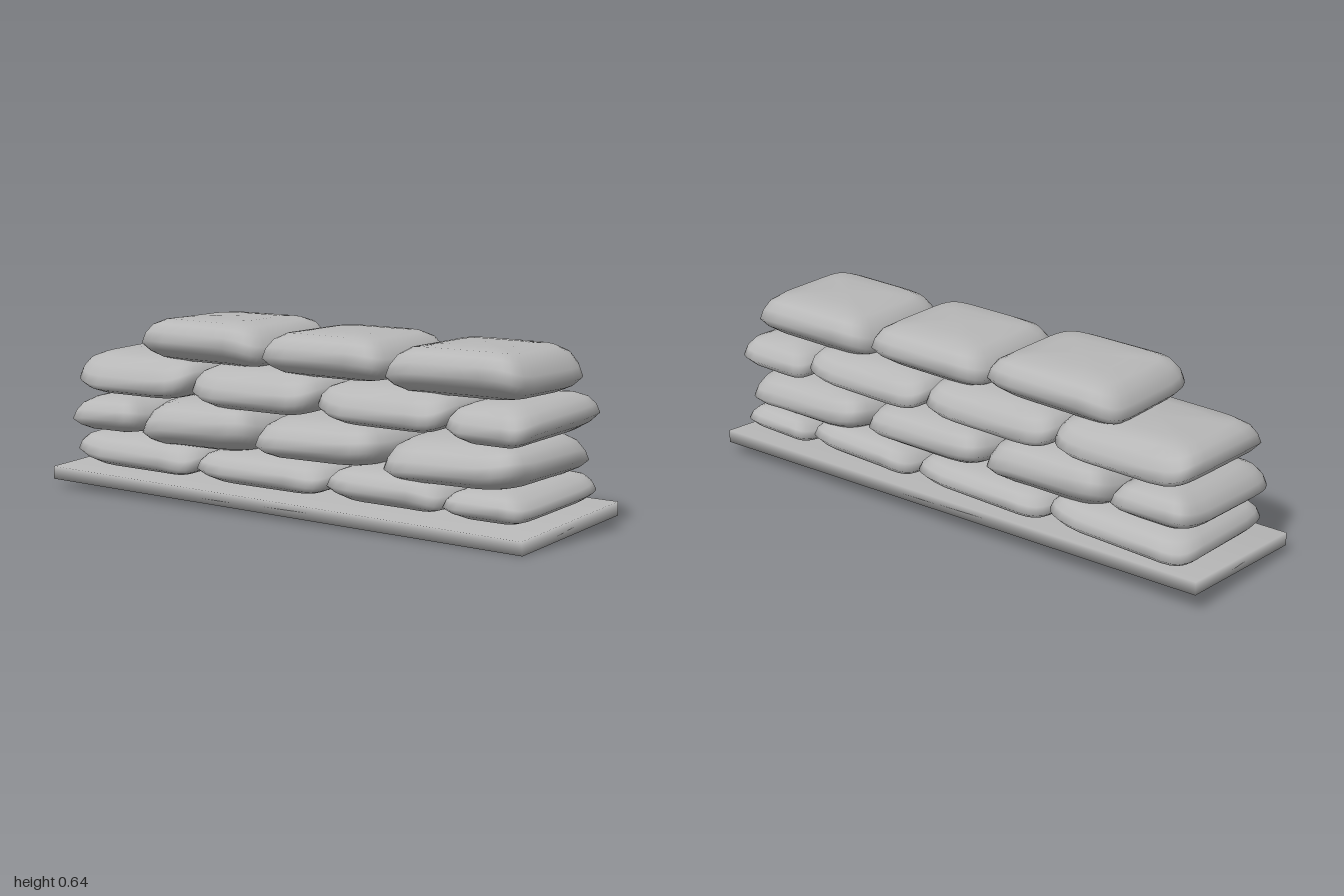
import * as THREE from 'three';
import { mergeVertices } from 'three/addons/utils/BufferGeometryUtils.js';

const grey = new THREE.MeshStandardMaterial({ color: 0xb8b8b8 });
grey.name = 'grey';

// small seeded random, -1 to 1
function seeded(seed) {
  let s = seed * 7919 + 17;
  return () => {
    s = (s * 16807) % 2147483647;
    return (s / 2147483647) * 2 - 1;
  };
}

// Pillow profile from the bottom up: [inset from outline, height]; the seam is at inset 0
const PROFILE = [
  [0.17, -1], [0.105, -0.95], [0.06, -0.82], [0.024, -0.55], [0, -0.22],
  [0.01, 0.2], [0.032, 0.6], [0.07, 0.86], [0.14, 0.97],
];
const SIDES = 28;

// Sandbag: rounded-square rings stacked into a smooth pillow with a wavering seam
function sandbag(x0, x1, y0, y1, z0, z1, tilt, seed) {
  const rnd = seeded(seed);
  for (let i = 0; i < 5; i++) rnd();
  const hx = (x1 - x0) / 2, hy = (y1 - y0) / 2, hz = (z1 - z0) / 2;
  const phase = rnd() * Math.PI, wave = 0.16 + 0.08 * rnd(), phase2 = rnd() * Math.PI;
  const pos = [], index = [];
  const bend = (c) => Math.sign(c) * Math.pow(Math.abs(c), 0.32);
  const add = (x, y, z) => pos.push(x, y + tilt * x, z);

  for (const [inset, h] of PROFILE) {
    const rx = hx - Math.min(inset, hx * 0.7), rz = hz - Math.min(inset, hz * 0.7);
    for (let j = 0; j < SIDES; j++) {
      const a = ((j + 0.5) / SIDES) * Math.PI * 2;
      const sag = wave * (1 - h * h) * Math.sin(2 * a + phase);
      const pinch = 1 - 0.02 * (1 + Math.sin(3 * a + phase2)) * (1 - Math.abs(h));
      add(rx * bend(Math.cos(a)) * pinch, hy * (h + sag), rz * bend(Math.sin(a)));
    }
  }
  const rings = PROFILE.length;
  for (let i = 0; i < rings - 1; i++) {
    for (let j = 0; j < SIDES; j++) {
      const a = i * SIDES + j, b = i * SIDES + ((j + 1) % SIDES);
      index.push(a, a + SIDES, b, b, a + SIDES, b + SIDES);
    }
  }
  // bottom and top caps
  const bottom = rings * SIDES, top = bottom + 1, last = (rings - 1) * SIDES;
  add(0, -hy, 0);
  add(0, hy, 0);
  for (let j = 0; j < SIDES; j++) {
    const k = (j + 1) % SIDES;
    index.push(bottom, j, k, top, last + k, last + j);
  }

  const geo = new THREE.BufferGeometry();
  geo.setAttribute('position', new THREE.Float32BufferAttribute(pos, 3));
  geo.setIndex(index);
  geo.computeVertexNormals();
  const mesh = new THREE.Mesh(geo, grey);
  mesh.position.set((x0 + x1) / 2, (y0 + y1) / 2, (z0 + z1) / 2);
  return mesh;
}

// Base board: a smooth-shaded box whose corners are slightly skewed and tilted
function baseBoard() {
  const box = new THREE.BoxGeometry(1, 1, 2);
  box.deleteAttribute('normal');
  box.deleteAttribute('uv');
  const geo = mergeVertices(box);
  const p = geo.attributes.position;
  for (let i = 0; i < p.count; i++) {
    const right = p.getX(i) > 0, front = p.getZ(i) > 0, up = p.getY(i) > 0;
    const x = right ? (front ? 0.293 : 0.242) : (front ? -0.274 : -0.294);
    const rise = front ? 0 : (right ? 0.024 : 0.03);
    const y = (right ? 0.043 : 0) + rise + (up ? 0.046 : 0);
    p.setXYZ(i, x - (up && front && !right ? 0.008 : 0), y, p.getZ(i));
  }
  geo.computeVertexNormals();
  const mesh = new THREE.Mesh(geo, grey);
  mesh.name = 'baseBoard';
  return mesh;
}

// Rows from the bottom: x range, sideways tilt, then [back z, front z, bottom y, top y] of each bag
const ROWS = [
  { x: [-0.258, 0.262], tilt: 0.06, bags: [
    [0.65, 0.97, 0.073, 0.187], [0.18, 0.66, 0.078, 0.208],
    [-0.39, 0.18, 0.083, 0.208], [-0.955, -0.38, 0.09, 0.223]] },
  { x: [-0.266, 0.26], tilt: 0.05, bags: [
    [0.41, 0.95, 0.172, 0.322], [-0.125, 0.4, 0.193, 0.343],
    [-0.635, -0.12, 0.19, 0.362], [-0.96, -0.63, 0.212, 0.352]] },
  { x: [-0.262, 0.258], tilt: 0.045, bags: [
    [0.66, 0.98, 0.312, 0.454], [0.14, 0.67, 0.333, 0.477],
    [-0.41, 0.14, 0.34, 0.494], [-0.945, -0.4, 0.352, 0.505]] },
  { x: [-0.25, 0.222], tilt: 0.015, bags: [
    [0.41, 0.945, 0.448, 0.615], [-0.1, 0.415, 0.468, 0.626],
    [-0.645, -0.09, 0.48, 0.64]] },
];

export function createModel() {
  const model = new THREE.Group();
  model.name = 'sandbagWall';
  model.add(baseBoard());
  ROWS.forEach((row, r) => {
    const group = new THREE.Group();
    group.name = `sandbagRow${r + 1}`;
    row.bags.forEach(([z0, z1, y0, y1], i) => {
      const shift = 0.008 * ((z0 + z1) / 2 - 0.5); // rows drift to -x at the back
      const bag = sandbag(row.x[0] + shift, row.x[1] + shift, y0, y1, z0, z1, row.tilt, r * 10 + i + 1);
      bag.name = `sandbag${r + 1}_${i + 1}`;
      group.add(bag);
    });
    model.add(group);
  });
  return model;
}
